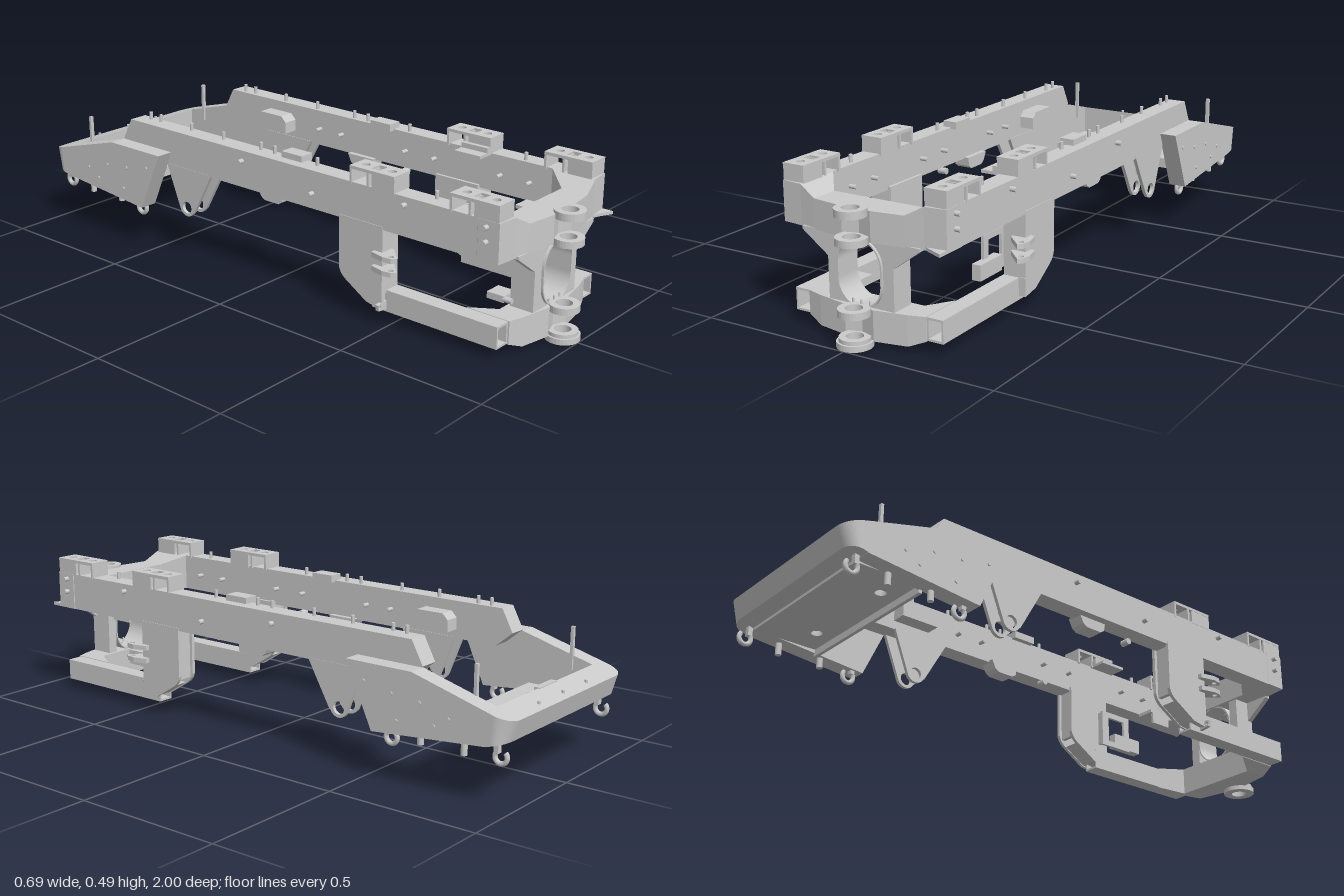
import * as THREE from 'three';

export function createModel() {
  const root = new THREE.Group();
  const mat = new THREE.MeshStandardMaterial({ color: 0xcccccc, side: THREE.DoubleSide });

  const add = (name, geo) => {
    const mesh = new THREE.Mesh(geo, mat);
    mesh.name = name;
    root.add(mesh);
    return mesh;
  };
  const both = (fn) => [1, -1].forEach(fn);
  const poly = (pts) => new THREE.Shape(pts.map((p) => new THREE.Vector2(p[0], p[1])));
  const circle = (x, y, r) => new THREE.Path().absarc(x, y, r, 0, Math.PI * 2, true);
  const rectHole = (x0, x1, y0, y1) => new THREE.Path([[x0, y0], [x1, y0], [x1, y1], [x0, y1]].map((p) => new THREE.Vector2(...p)));
  const extrude = (shape, depth) => new THREE.ExtrudeGeometry(shape, { depth, bevelEnabled: false, curveSegments: 16 });

  // Box given by its limits
  const box = (name, x0, x1, y0, y1, z0, z1) => add(name,
    new THREE.BoxGeometry(Math.abs(x1 - x0), y1 - y0, z1 - z0).translate((x0 + x1) / 2, (y0 + y1) / 2, (z0 + z1) / 2));
  // Side profile (z, y) carried across from x0 to x1
  const slab = (name, shape, x0, x1) => add(name,
    extrude(shape, Math.abs(x1 - x0)).rotateY(-Math.PI / 2).translate(Math.max(x0, x1), 0, 0));
  // Plan shape (x, -z) carried up from y0 to y1
  const plate = (name, shape, y0, y1) => add(name,
    extrude(shape, y1 - y0).rotateX(-Math.PI / 2).translate(0, y0, 0));
  // Short round pin along an axis
  const pin = (name, x, y, z, r, len, axis = 'y') => {
    const g = new THREE.CylinderGeometry(r, r, len, 14);
    if (axis === 'x') g.rotateZ(Math.PI / 2);
    if (axis === 'z') g.rotateX(Math.PI / 2);
    return add(name, g.translate(x, y, z));
  };
  // Box-section beam through stations [x, bottom, top, back, front], mirrored about x = 0
  const beam = (name, half) => {
    const st = [...half.map(([x, ...r]) => [-x, ...r]), ...half.slice(0, -1).reverse()];
    const rings = st.map(([x, b, t, zb, zf]) => [[x, b, zf], [x, b, zb], [x, t, zb], [x, t, zf]]);
    const pos = [];
    const quad = (a, b, c, d) => pos.push(...a, ...b, ...c, ...a, ...c, ...d);
    for (let i = 0; i < rings.length - 1; i++) {
      for (let j = 0; j < 4; j++) {
        const k = (j + 1) % 4;
        quad(rings[i][j], rings[i][k], rings[i + 1][k], rings[i + 1][j]);
      }
    }
    quad(...[...rings[0]].reverse());
    quad(...rings[rings.length - 1]);
    const g = new THREE.BufferGeometry();
    g.setAttribute('position', new THREE.Float32BufferAttribute(pos, 3));
    g.computeVertexNormals();
    add(name, g);
  };

  // Front cross members
  beam('upperCrossMember', [[0.285, 0.31, 0.435, 0.82, 0.893], [0.215, 0.31, 0.435, 0.75, 0.9],
    [0.157, 0.31, 0.403, 0.82, 0.91], [0.05, 0.31, 0.403, 0.82, 0.925], [0, 0.31, 0.403, 0.82, 0.91]]);
  beam('lowerCrossMember', [[0.207, 0.035, 0.11, 0.74, 0.89], [0.155, 0.015, 0.11, 0.82, 0.905],
    [0.05, 0.015, 0.11, 0.82, 0.925], [0, 0.015, 0.11, 0.82, 0.91]]);

  // Hinge rings
  [[0.388, 0.412, 0.048], [0.305, 0.327, 0.048], [0.093, 0.115, 0.048], [0, 0.018, 0.054], [0.018, 0.03, 0.047]]
    .forEach(([y0, y1, r]) => {
      const s = new THREE.Shape().absarc(0, -0.946, r, 0, Math.PI * 2, false);
      s.holes.push(circle(0, -0.946, 0.026));
      plate('hingeRing', s, y0, y1);
    });

  // Centre post with tall oval opening
  const post = poly([[-0.115, 0.1], [0.115, 0.1], [0.115, 0.24], [0.205, 0.305], [0.205, 0.315], [-0.205, 0.315], [-0.205, 0.305], [-0.115, 0.24]]);
  const oval = new THREE.Path();
  oval.absarc(0, 0.235, 0.074, 0, Math.PI, false);
  oval.absarc(0, 0.182, 0.074, Math.PI, Math.PI * 2, false);
  oval.closePath();
  post.holes.push(oval);
  add('centrePost', extrude(post, 0.02).translate(0, 0, 0.89));
  const liner = new THREE.Shape().absarc(0, 0.235, 0.079, 0, Math.PI, false);
  liner.absarc(0, 0.182, 0.079, Math.PI, Math.PI * 2, false);
  liner.holes.push(oval);
  add('postLiner', extrude(liner, 0.09).translate(0, 0, 0.828));
  both((s) => box('postSide', s * 0.08, s * 0.115, 0.1, 0.315, 0.83, 0.89));
  [-0.03, 0, 0.03].forEach((x) => pin('hingeBolt', x, 0.118, 0.91, 0.003, 0.02));
  box('valveBlock', -0.135, -0.075, 0.122, 0.143, 0.76, 0.82);
  pin('valvePort', -0.128, 0.132, 0.83, 0.009, 0.03, 'z');

  const rail = poly([[0.893, 0.31], [0.893, 0.435], [-0.63, 0.435], [-0.67, 0.36], [-0.61, 0.31]]);
  const column = new THREE.Shape();
  column.moveTo(0.48, 0.32).lineTo(0.31, 0.32).lineTo(0.31, 0.15)
    .quadraticCurveTo(0.315, 0.125, 0.34, 0.11).lineTo(0.42, 0.06).lineTo(0.48, 0.05);
  const hanger = new THREE.Shape();
  hanger.moveTo(-0.245, 0.315).lineTo(-0.33, 0.165);
  hanger.absarc(-0.365, 0.178, 0.034, Math.PI * 1.85, Math.PI * 1.15, true);
  hanger.lineTo(-0.455, 0.315);
  hanger.holes.push(circle(-0.365, 0.175, 0.021));
  const armEnd = poly([[0.207, 0.037], [0.262, 0.037], [0.262, 0.108], [0.207, 0.108]]);
  armEnd.holes.push(rectHole(0.213, 0.256, 0.044, 0.101));
  const sideBox = poly([[-0.435, 0.357], [-0.67, 0.357], [-0.925, 0.287], [-0.925, 0.185], [-0.53, 0.15]]);
  const tray = poly([[-0.06, 0.315], [0.05, 0.315], [0.045, 0.285], [0.03, 0.275], [-0.03, 0.275], [-0.045, 0.285]]);

  both((s) => {
    // Main rail
    slab('rail', rail, s * 0.218, s * 0.283);

    // Lower arm tube and drop column
    const arm = add('lowerArm', extrude(armEnd, 0.46).translate(s > 0 ? 0 : -0.469, 0, 0.425));
    arm.position.x = 0;
    slab('columnPlate', column, s * 0.208, s * 0.22);
    slab('columnPlate', column, s * 0.273, s * 0.285);
    box('columnFront', s * 0.215, s * 0.28, 0.1, 0.315, 0.462, 0.48);
    box('columnBack', s * 0.215, s * 0.28, 0.135, 0.315, 0.32, 0.335);
    slab('columnFoot', poly([[0.34, 0.113], [0.42, 0.063], [0.475, 0.055], [0.475, 0.11]]), s * 0.212, s * 0.28);

    // Twin lugs on the column
    [0.177, 0.222].forEach((y) => {
      const lug = poly([[0.24, -0.45], [0.3, -0.45], [0.312, -0.5], [0.308, -0.53], [0.295, -0.545], [0.28, -0.53], [0.24, -0.49]].map(([x, v]) => [s * x, v]));
      lug.holes.push(circle(s * 0.294, -0.52, 0.009));
      plate('columnLug', lug, y, y + 0.016);
    });

    // Raised mounts on the rail
    [[0.72, 0.89], [0.35, 0.52]].forEach(([z0, z1]) => {
      const zm = (z0 + z1) / 2;
      const top = poly([[0.21, -z0], [0.285, -z0], [0.285, -z1], [0.21, -z1]].map(([x, v]) => [s * x, v]));
      top.holes.push(circle(s * 0.248, -(z0 + 0.035), 0.013), circle(s * 0.248, -(z1 - 0.035), 0.013),
        rectHole(Math.min(s * 0.228, s * 0.267), Math.max(s * 0.228, s * 0.267), -(zm + 0.016), -(zm - 0.016)));
      plate('mountTop', top, 0.477, 0.487);
      [z0, zm - 0.02, zm + 0.013, z1 - 0.008].forEach((z) => box('mountWeb', s * 0.211, s * 0.284, 0.43, 0.48, z, z + 0.008));
      box('mountInnerWall', s * 0.211, s * 0.217, 0.43, 0.48, zm, z1);
      box('mountOuterWall', s * 0.278, s * 0.284, 0.43, 0.48, zm, z1);
    });

    // Rear hanger, its boss and shelf
    slab('hangerPlate', hanger, s * 0.216, s * 0.228);
    slab('hangerPlate', hanger, s * 0.272, s * 0.284);
    box('hangerWeb', s * 0.222, s * 0.278, 0.22, 0.315, -0.375, -0.36);
    slab('shelfBracket', poly([[-0.46, 0.34], [-0.32, 0.34], [-0.32, 0.38], [-0.34, 0.4], [-0.44, 0.4], [-0.46, 0.38]]), s * 0.165, s * 0.22);

    // Small fittings on the rail
    slab('underTray', tray, s * 0.2, s * 0.255);
    box('topPad', s * 0.198, s * 0.248, 0.43, 0.455, 0.04, 0.125);
    [0.64, 0.18, 0.0, -0.06, -0.23, -0.38, -0.53, -0.58].forEach((z) => pin('topStud', s * 0.235, 0.445, z, 0.006, 0.03));
    [[0.85, 0.415], [0.85, 0.37], [0.56, 0.41], [0.2, 0.36], [-0.1, 0.4]].forEach(([z, y]) => pin('sideStud', s * 0.285, y, z, 0.008, 0.035, 'x'));
    [0.67, 0.56, 0.3, 0.18, -0.1, -0.2].forEach((z) => pin('innerStud', s * 0.21, 0.37, z, 0.007, 0.035, 'x'));
    pin('pipeClip', s * 0.215, 0.3, 0.18, 0.011, 0.03, 'x');

    // Rear side box, bolts, rod and hooks
    slab('rearSideBox', sideBox, s * 0.28, s * 0.341);
    [[-0.5, 0.3], [-0.6, 0.28], [-0.7, 0.27], [-0.8, 0.24], [-0.62, 0.2], [-0.75, 0.21]].forEach(([z, y]) => pin('sideBolt', s * 0.341, y, z, 0.006, 0.008, 'x'));
    box('markerRod', s * 0.272, s * 0.284, 0.26, 0.4, -0.855, -0.845);
    [[-0.575, 0.13], [-0.95, 0.15]].forEach(([z, y]) => {
      const hook = add('hook', new THREE.TorusGeometry(0.02, 0.008, 8, 20, Math.PI * 1.5).rotateZ(Math.PI * 0.75).rotateY(Math.PI / 2));
      hook.position.set(s * 0.297, y, z);
      box('hookShank', s * 0.288, s * 0.306, y + 0.01, y + 0.045, z + 0.005, z + 0.02);
    });
    pin('drainPlug', s * 0.3, 0.15, -0.83, 0.01, 0.04);
    pin('drainPlug', s * 0.3, 0.15, -0.68, 0.01, 0.04);
  });

  // Rear beam with rounded corners, sloping top and bottom
  const rear = new THREE.Shape();
  rear.moveTo(-0.341, 0.92).lineTo(0.341, 0.92).lineTo(0.341, 0.945);
  rear.absarc(0.286, 0.945, 0.055, 0, Math.PI / 2, false);
  rear.absarc(-0.286, 0.945, 0.055, Math.PI / 2, Math.PI, false);
  const rearGeo = extrude(rear, 1).rotateX(-Math.PI / 2);
  const p = rearGeo.attributes.position;
  for (let i = 0; i < p.count; i++) {
    const t = (-p.getZ(i) - 0.92) / 0.08;
    const top = p.getY(i) > 0.5;
    p.setY(i, top ? 0.288 - 0.022 * t : 0.185 + 0.015 * t);
    if (!top) p.setZ(i, p.getZ(i) + 0.02 * t);
  }
  rearGeo.computeVertexNormals();
  add('rearBeam', rearGeo);
  [-0.14, 0, 0.14].forEach((x) => pin('rearStud', x, 0.275, -0.975, 0.005, 0.012));

  // Rear floor with two holes and a front lip
  const floor = poly([[-0.285, 0.7], [0.285, 0.7], [0.285, 0.93], [-0.285, 0.93]]);
  floor.holes.push(circle(-0.175, 0.77, 0.018), circle(0.175, 0.77, 0.018));
  plate('rearFloor', floor, 0.178, 0.19);
  box('floorLip', -0.285, 0.285, 0.155, 0.19, -0.712, -0.7);
  box('rearHatch', -0.04, 0.04, 0.19, 0.226, -0.922, -0.915);
  box('rearLatch', -0.05, 0.05, 0.27, 0.29, -0.925, -0.905);

  // One-sided brackets on the left
  box('frontBracket', 0.155, 0.22, 0.3, 0.312, 0.66, 0.75);
  box('frontBracketFlange', 0.155, 0.165, 0.26, 0.31, 0.67, 0.75);
  box('midBracket', 0.155, 0.22, 0.43, 0.44, 0.42, 0.52);
  box('midBracketEdge', 0.195, 0.212, 0.435, 0.457, 0.42, 0.52);
  const frame = poly([[0.44, 0.125], [0.57, 0.125], [0.57, 0.255], [0.44, 0.255]]);
  frame.holes.push(rectHole(0.47, 0.545, 0.145, 0.235));
  slab('windowFrame', frame, 0.185, 0.195);
  box('windowFrameArm', 0.19, 0.215, 0.13, 0.25, 0.44, 0.455);
  box('stepBracket', 0.185, 0.215, 0.13, 0.18, 0.5, 0.62);

  // Tow tab on the right, guard fin on the left
  const tab = poly([[-0.26, 0.045], [-0.3, 0.05], [-0.303, 0.07], [-0.26, 0.075]]);
  tab.holes.push(circle(-0.294, 0.06, 0.005));
  add('towTab', extrude(tab, 0.012).translate(0, 0, 0.47));
  add('guardFin', extrude(poly([[0.262, 0.05], [0.268, 0.05], [0.285, 0.11], [0.262, 0.11]]), 0.012).translate(0, 0, 0.47));
  plate('cornerGusset', poly([[0.2, -0.89], [0.285, -0.93], [0.285, -0.87]]), 0.31, 0.32);
  return root;
}
